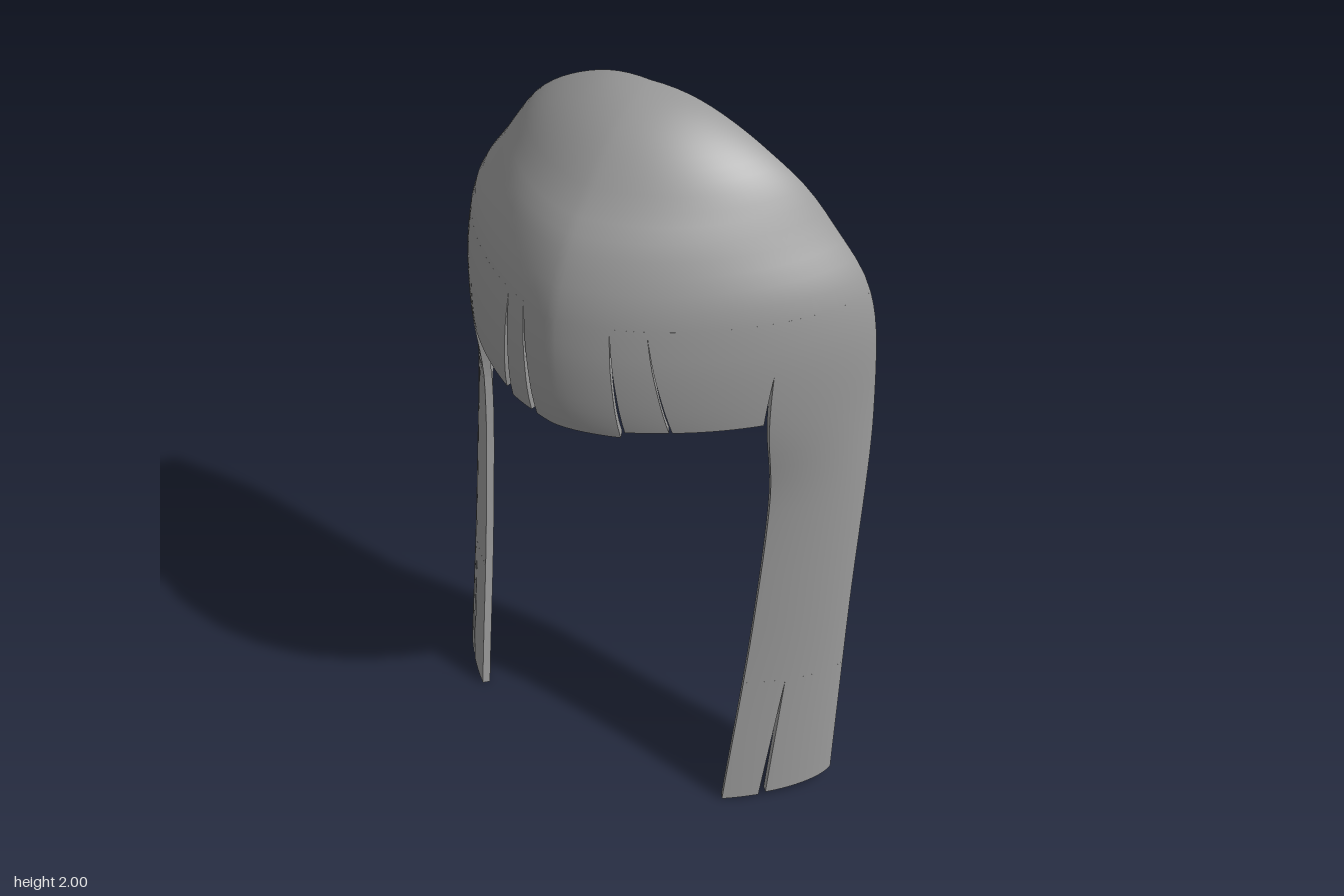
import * as THREE from 'three';
import { mergeGeometries } from 'three/addons/utils/BufferGeometryUtils.js';

const THICK = 0.022;
const HALF = Math.PI / 2;

// Smooth curve through [height, value] pairs listed from the crown down;
// it runs over q = sqrt(2 - y), so the dome closes roundly at the top
function curve(points) {
  const k = points.map(([y]) => Math.sqrt(2 - y));
  const v = points.map((p) => p[1]);
  const n = k.length;
  const slope = k.map((_, i) => {
    const a = Math.max(i - 1, 0), b = Math.min(i + 1, n - 1);
    return (v[b] - v[a]) / (k[b] - k[a]);
  });
  return (q) => {
    let i = 0;
    while (i < n - 2 && q > k[i + 1]) i++;
    const h = k[i + 1] - k[i], t = Math.min(Math.max((q - k[i]) / h, 0), 1);
    const t2 = t * t, t3 = t2 * t;
    return v[i] * (2 * t3 - 3 * t2 + 1) + slope[i] * h * (t3 - 2 * t2 + t)
      + v[i + 1] * (3 * t2 - 2 * t3) + slope[i + 1] * h * (t3 - t2);
  };
}

// Half width, front line, back rim and inner edge of the side strands
const width = curve([[2, 0], [1.99, 0.1], [1.96, 0.19], [1.85, 0.36], [1.71, 0.47],
  [1.59, 0.555], [1.46, 0.59], [1.2, 0.6], [1, 0.604], [0.5, 0.604], [0, 0.608]]);
const front = curve([[2, -0.15], [1.985, -0.07], [1.94, 0.01], [1.815, 0.13], [1.735, 0.2],
  [1.63, 0.25], [1.55, 0.27], [1.4, 0.283], [1.23, 0.265], [1, 0.17], [0.6, 0.175], [0, 0.25]]);
const back = curve([[2, -0.15], [1.895, -0.185], [1.76, -0.232], [1.6, -0.255], [1.39, -0.265],
  [1.18, -0.27], [1, -0.255], [0.65, -0.22], [0.33, -0.195], [0, -0.168]]);
const strandEdge = curve([[1.56, 0.465], [1.43, 0.463], [1.2, 0.455], [1, 0.45],
  [0.6, 0.437], [0.3, 0.425], [0, 0.412]]);

// Each level is a slightly pointed half oval; a runs from right rim to left rim
const power = (q) => 2 / (1.55 + 0.3 * Math.max(0, 1 - q / 0.7));
function surface(a, q) {
  const e = power(q), s = Math.sin(a);
  const b = back(q);
  return new THREE.Vector3(
    width(q) * Math.sign(s) * Math.abs(s) ** e,
    2 - q * q,
    b + (front(q) - b) * Math.max(Math.cos(a), 0) ** e);
}
function surfaceNormal(a, q) {
  const d = 0.03, qm = Math.sqrt(2);
  const ta = surface(Math.min(a + d, HALF), q).sub(surface(Math.max(a - d, -HALF), q));
  const tq = surface(a, Math.min(q + d, qm)).sub(surface(a, Math.max(q - d, 0)));
  const n = tq.cross(ta);
  return n.lengthSq() < 1e-12 ? new THREE.Vector3(0, 1, 0) : n.normalize();
}
function angleAt(x, y) {
  const q = Math.sqrt(2 - y);
  const f = Math.min(Math.abs(x) / width(q), 1);
  return Math.sign(x) * Math.asin(f ** (1 / power(q)));
}

// Thick piece of the shell between two edges (angle by height)
function panel(top, bottomL, bottomR, lo, hi, cols, rows) {
  const outer = [], inner = [], normals = [];
  for (let r = 0; r <= rows; r++) {
    for (let c = 0; c <= cols; c++) {
      const s = c / cols, q0 = Math.sqrt(2 - top);
      const q1 = Math.sqrt(2 - (bottomL + (bottomR - bottomL) * s));
      const q = q0 + (q1 - q0) * r / rows, y = 2 - q * q;
      const a = lo(y) + (hi(y) - lo(y)) * s;
      const p = surface(a, q), n = surfaceNormal(a, q);
      outer.push(p);
      normals.push(n);
      inner.push(p.clone().addScaledVector(n, -THICK));
    }
  }
  const id = (r, c) => r * (cols + 1) + c;
  const pos = [], nor = [];
  const put = (pts, i, sign) => {
    pos.push(...pts[i].toArray());
    nor.push(...normals[i].clone().multiplyScalar(sign).toArray());
  };
  for (let r = 0; r < rows; r++) {
    for (let c = 0; c < cols; c++) {
      const A = id(r, c), B = id(r + 1, c), C = id(r + 1, c + 1), D = id(r, c + 1);
      for (const i of [A, B, C, A, C, D]) put(outer, i, 1);
      for (const i of [A, C, B, A, D, C]) put(inner, i, -1);
    }
  }
  // Cut edges all the way round
  const loop = [];
  for (let r = 0; r < rows; r++) loop.push(id(r, 0));
  for (let c = 0; c < cols; c++) loop.push(id(rows, c));
  for (let r = rows; r > 0; r--) loop.push(id(r, cols));
  for (let c = cols; c > 0; c--) loop.push(id(0, c));
  const wall = [];
  loop.forEach((p, i) => {
    const n = loop[(i + 1) % loop.length];
    for (const v of [outer[n], outer[p], inner[p], outer[n], inner[p], inner[n]]) wall.push(...v.toArray());
  });
  const skin = new THREE.BufferGeometry();
  skin.setAttribute('position', new THREE.Float32BufferAttribute(pos, 3));
  skin.setAttribute('normal', new THREE.Float32BufferAttribute(nor, 3));
  const rim = new THREE.BufferGeometry();
  rim.setAttribute('position', new THREE.Float32BufferAttribute(wall, 3));
  rim.computeVertexNormals();
  return mergeGeometries([skin, rim]);
}

export function createModel() {
  const group = new THREE.Group();
  const hairGrey = new THREE.MeshStandardMaterial({ color: 0x999999 });
  hairGrey.name = 'hairGrey';
  const add = (name, geometry) => {
    const mesh = new THREE.Mesh(geometry, hairGrey);
    mesh.name = name;
    group.add(mesh);
  };

  // Crown
  const SPLIT = 1.55;
  add('crown', panel(2, SPLIT, SPLIT, () => -HALF, () => HALF, 56, 20));

  // Fringe locks between slits: x at the slit top, both sides at the tips, top height
  const slits = [
    [-0.465, -0.46, -0.453, 1.43],
    [-0.405, -0.41, -0.403, 1.43],
    [-0.163, -0.19, -0.165, 1.54],
    [-0.1, -0.082, -0.062, 1.55],
    [0.14, 0.163, 0.176, 1.54],
    [0.22, 0.272, 0.279, 1.54],
    [0.465, 0.445, 0.45, 1.43],
  ];
  const tips = [[1.25, 1.25], [1.245, 1.235], [1.225, 1.235], [1.235, 1.23], [1.25, 1.255], [1.255, 1.26]];
  const slitEdge = (slit, side) => (y) => {
    const t = Math.max(0, (slit[3] - y) / (slit[3] - 1.24));
    return angleAt(slit[0] + (slit[side] - slit[0]) * t, y);
  };
  tips.forEach(([l, r], i) => add('fringeLock' + (i + 1),
    panel(SPLIT, l, r, slitEdge(slits[i], 2), slitEdge(slits[i + 1], 1), 10, 10)));

  // Long side strands, each forked at the end
  const FORK = 0.4;
  const forkEdge = (x) => (y) => angleAt(0.515 + (x - 0.515) * (FORK - y) / FORK, y);
  const innerEdge = (y) => angleAt(strandEdge(Math.sqrt(2 - y)), y);
  const rimEdge = () => HALF;
  for (const [side, sign] of [['left', 1], ['right', -1]]) {
    const strand = (name, top, yIn, yOut, edgeIn, edgeOut, rows) => add(side + name, sign > 0
      ? panel(top, yIn, yOut, edgeIn, edgeOut, 12, rows)
      : panel(top, yOut, yIn, (y) => -edgeOut(y), (y) => -edgeIn(y), 12, rows));
    strand('Strand', SPLIT, FORK, FORK, innerEdge, rimEdge, 24);
    strand('StrandFrontTip', FORK, 0, 0.006, innerEdge, forkEdge(0.489), 8);
    strand('StrandBackTip', FORK, 0.012, 0.028, forkEdge(0.503), rimEdge, 8);
  }
  return group;
}
